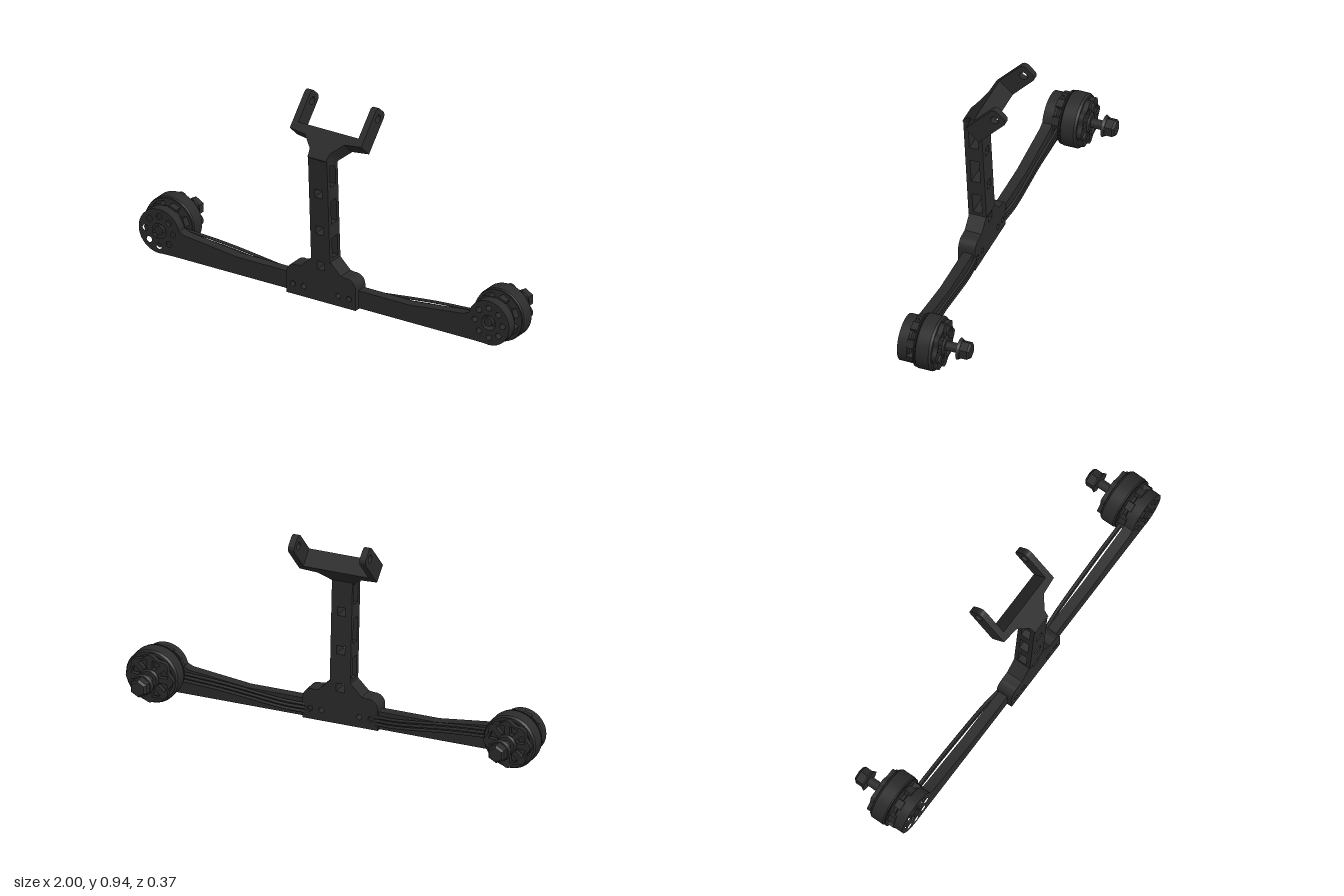
import * as THREE from 'three';
import { toCreasedNormals } from 'three/addons/utils/BufferGeometryUtils.js';

const carbon = new THREE.MeshStandardMaterial({ color: 0x2b2b2b });
carbon.name = 'charcoal';

function add(parent, name, geo, x = 0, y = 0, z = 0) {
  const m = new THREE.Mesh(geo, carbon);
  m.name = name;
  m.position.set(x, y, z);
  parent.add(m);
  return m;
}

function outline(pts) {
  return new THREE.Shape(pts.map(([x, y]) => new THREE.Vector2(x, y)));
}

function roundHole(shape, x, y, r) {
  shape.holes.push(new THREE.Path().absarc(x, y, r, 0, Math.PI * 2, true));
}

function squareHole(shape, x, y, h) {
  const p = [[-h, -h], [-h, h], [h, h], [h, -h]].map(([a, b]) => new THREE.Vector2(x + a, y + b));
  shape.holes.push(new THREE.Path(p));
}

// Extrude a shape from z0 to z1
function slab(shape, z0, z1) {
  const g = new THREE.ExtrudeGeometry(shape, { depth: z1 - z0, bevelEnabled: false, curveSegments: 16 });
  g.translate(0, 0, z0);
  return toCreasedNormals(g, 0.6);
}

// Revolved part whose axis runs along z; points are [radius, z], going backwards
function turned(pts, segments = 40) {
  const g = new THREE.LatheGeometry(pts.map(([r, z]) => new THREE.Vector2(r, -z)), segments);
  g.rotateX(-Math.PI / 2);
  return toCreasedNormals(g, 0.5);
}

function arcPoints(cx, cy, r, a0, a1, n) {
  return Array.from({ length: n + 1 }, (_, i) => {
    const a = a0 + (a1 - a0) * i / n;
    return [cx + r * Math.cos(a), cy + r * Math.sin(a)];
  });
}

function makeArm(s) {
  const arm = new THREE.Group();
  arm.name = s > 0 ? 'leftArm' : 'rightArm';
  // Tapered beam ending in a round motor mount
  const pts = [[0.125, 0.025], [0.8, 0.025],
    ...arcPoints(0.872, 0.13, 0.108, -1.75, 2.9, 30), [0.74, 0.143], [0.46, 0.11], [0.125, 0.11]];
  const shape = outline(pts.map(([x, y]) => [x * s, y]));
  roundHole(shape, 0.872 * s, 0.13, 0.036);
  for (let i = 0; i < 8; i++) {
    const a = i * Math.PI / 4;
    roundHole(shape, 0.872 * s + 0.073 * Math.cos(a), 0.13 + 0.073 * Math.sin(a), 0.014);
  }
  add(arm, 'beam', slab(shape, 0.086, 0.133));
  // Three motor wires along the back
  for (let i = 0; i < 3; i++) {
    const path = new THREE.CatmullRomCurve3([[0.17, 0.05 + i * 0.018, 0.078], [0.27, 0.055 + i * 0.018, 0.068],
      [0.55, 0.085 + i * 0.018, 0.064], [0.79, 0.1 + i * 0.018, 0.064]]
      .map(([x, y, z]) => new THREE.Vector3(x * s, y, z)));
    add(arm, 'wire', new THREE.TubeGeometry(path, 20, 0.007, 8));
  }
  return arm;
}

function makeMotor(s) {
  const motor = new THREE.Group();
  motor.name = s > 0 ? 'leftMotor' : 'rightMotor';
  motor.position.set(0.872 * s, 0.135, 0);
  // Base with ribs
  add(motor, 'motorBase', turned([[0, 0.09], [0.1, 0.09], [0.1, 0.076], [0.088, 0.07], [0.088, 0.056],
    [0.124, 0.053], [0.124, 0.048], [0, 0.048]]));
  for (let i = 0; i < 8; i++) {
    const a = i * Math.PI / 4 + Math.PI / 8;
    const rib = add(motor, 'baseRib', new THREE.BoxGeometry(0.035, 0.04, 0.036),
      0.094 * Math.cos(a), 0.094 * Math.sin(a), 0.07);
    rib.rotation.z = a;
  }
  // Stator inside the open bell
  add(motor, 'stator', turned([[0, 0.049], [0.095, 0.049], [0.095, -0.02], [0, -0.02]]));
  add(motor, 'bell', turned([[0.108, 0.043], [0.122, 0.043], [0.127, 0.038], [0.127, -0.024], [0.12, -0.034],
    [0.106, -0.034], [0.108, 0.043]], 48));
  // Scalloped bell cap with cooling windows
  const rim = Array.from({ length: 80 }, (_, i) => {
    const a = i * Math.PI / 40;
    const r = 0.107 + 0.008 * Math.cos(8 * a);
    return [r * Math.cos(a), r * Math.sin(a)];
  });
  const cap = outline(rim);
  for (let i = 0; i < 8; i++) {
    const a = (i + 0.5) * Math.PI / 4;
    const ring = [...arcPoints(0, 0, 0.09, a - 0.24, a + 0.24, 5), ...arcPoints(0, 0, 0.05, a + 0.15, a - 0.15, 3)];
    cap.holes.push(new THREE.Path(ring.map(([x, y]) => new THREE.Vector2(x, y))));
  }
  add(motor, 'bellCap', slab(cap, -0.056, -0.032));
  // Hub, shaft and propeller nut
  add(motor, 'hub', turned([[0, -0.02], [0.046, -0.02], [0.046, -0.056], [0.038, -0.064], [0, -0.064]], 24));
  add(motor, 'shaft', turned([[0, 0.137], [0.022, 0.137], [0.022, -0.13], [0, -0.13]], 20));
  add(motor, 'nutFlange', turned([[0, -0.124], [0.051, -0.124], [0.044, -0.137], [0, -0.137]], 24));
  add(motor, 'nut', turned([[0, -0.13], [0.044, -0.13], [0.044, -0.172], [0.034, -0.182], [0, -0.182]], 6));
  return motor;
}

// Centre clamp gripping both arms
function makeClamp() {
  const half = [[0.183, 0.02], [0.183, 0.12], ...arcPoints(0.138, 0.122, 0.045, 0.2, 1.75, 8),
    [0.105, 0.17], [0.05, 0.225], [0.05, 0.24]];
  const shape = outline([...half, ...half.map(([x, y]) => [-x, y]).reverse()]);
  for (const s of [-1, 1]) {
    roundHole(shape, 0.092 * s, 0.07, 0.013);
    roundHole(shape, 0.148 * s, 0.07, 0.013);
  }
  squareHole(shape, 0, 0.195, 0.02);
  return slab(shape, 0.076, 0.157);
}

// Leaning mast: front and back plates joined by pierced blocks
function makeMast() {
  const mast = new THREE.Group();
  mast.name = 'mast';
  mast.position.set(0, 0.22, 0.117);
  mast.rotation.x = 0.05;
  const plate = outline([[-0.05, 0], [0.05, 0], [0.05, 0.515], [-0.05, 0.515]]);
  squareHole(plate, 0, 0.155, 0.02);
  squareHole(plate, 0, 0.34, 0.02);
  add(mast, 'frontPlate', slab(plate, 0.021, 0.043));
  add(mast, 'backPlate', slab(plate, -0.043, -0.023));
  for (const [y0, y1, hole] of [[0, 0.015], [0.12, 0.19, 0.155], [0.305, 0.375, 0.34], [0.485, 0.515]]) {
    const block = outline([[-0.05, y0], [0.05, y0], [0.05, y1], [-0.05, y1]]);
    if (hole) squareHole(block, 0, hole, 0.02);
    add(mast, 'block', slab(block, -0.023, 0.021));
  }
  return mast;
}

// Tilted fork with two drilled prongs
function makeFork() {
  const fork = new THREE.Group();
  fork.name = 'fork';
  fork.position.set(0, 0.725, 0.142);
  fork.rotation.x = -0.75;
  const neck = [[0.05, -0.012], [0.055, 0.015], [0.105, 0.07], [0.188, 0.08], [0.188, 0.116]];
  add(fork, 'crossbar', slab(outline([...neck, ...neck.map(([x, y]) => [-x, y]).reverse()]), -0.044, 0.044));
  // Wedge closing the bend between mast and fork
  const wedge = outline([[0.044, -0.012], [0.044, 0.03], [-0.044, 0.03], [-0.044, -0.012], [0.0, -0.03], [0.042, -0.026]]);
  const wedgeMesh = add(fork, 'bend', slab(wedge, -0.05, 0.05));
  wedgeMesh.rotation.y = -Math.PI / 2;
  // Prong profile: first axis is depth, second runs along the prong
  const side = outline([[-0.044, 0.08], [0.044, 0.08], ...arcPoints(0.02, 0.256, 0.024, 0, Math.PI / 2, 6),
    ...arcPoints(-0.02, 0.256, 0.024, Math.PI / 2, Math.PI, 6)]);
  roundHole(side, 0, 0.237, 0.019);
  for (const s of [-1, 1]) {
    const prong = add(fork, s > 0 ? 'leftProng' : 'rightProng', slab(side, -0.015, 0.015), 0.174 * s);
    prong.rotation.y = -Math.PI / 2;
  }
  return fork;
}

export function createModel() {
  const model = new THREE.Group();
  model.name = 'twinMotorMount';
  for (const s of [-1, 1]) model.add(makeArm(s), makeMotor(s));
  add(model, 'clamp', makeClamp());
  model.add(makeMast(), makeFork());
  return model;
}
